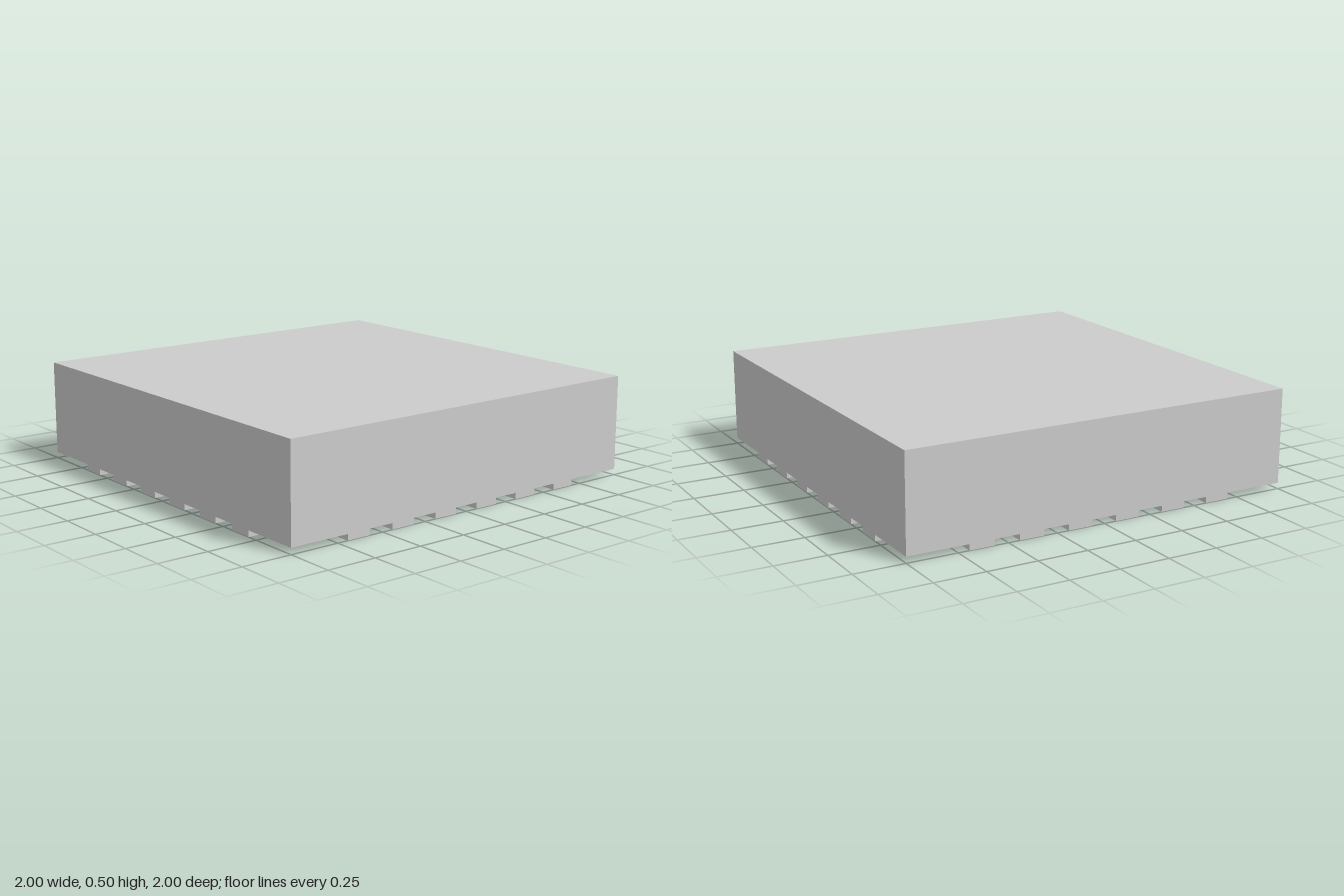
import * as THREE from 'three';
import { toCreasedNormals } from 'three/addons/utils/BufferGeometryUtils.js';

const HALF = 1, HEIGHT = 0.5, STANDOFF = 0.03;
const PADS_PER_SIDE = 6, PITCH = 0.253, PAD_RADIUS = 0.0625, PAD_LENGTH = 0.2;
const THERMAL_PAD = 1.26;

// Contact pad: square at the outer edge, rounded at the inner end
function contactGeometry() {
  const inner = HALF - PAD_LENGTH + PAD_RADIUS;
  const shape = new THREE.Shape();
  shape.moveTo(PAD_RADIUS, inner);
  shape.lineTo(PAD_RADIUS, HALF);
  shape.lineTo(-PAD_RADIUS, HALF);
  shape.lineTo(-PAD_RADIUS, inner);
  shape.absarc(0, inner, PAD_RADIUS, Math.PI, 2 * Math.PI, false);
  const geometry = new THREE.ExtrudeGeometry(shape, {
    depth: STANDOFF, bevelEnabled: false, curveSegments: 16,
  });
  geometry.rotateX(Math.PI / 2).translate(0, STANDOFF, 0);
  return toCreasedNormals(geometry, Math.PI / 6);
}

export function createModel() {
  const model = new THREE.Group();
  model.name = 'chipPackage';
  const material = new THREE.MeshStandardMaterial({ color: 0xcccccc });

  // Moulded body
  const bodyHeight = HEIGHT - STANDOFF;
  const body = new THREE.Mesh(new THREE.BoxGeometry(2 * HALF, bodyHeight, 2 * HALF), material);
  body.name = 'body';
  body.position.y = STANDOFF + bodyHeight / 2;
  model.add(body);

  // Central pad underneath
  const thermalPad = new THREE.Mesh(new THREE.BoxGeometry(THERMAL_PAD, STANDOFF, THERMAL_PAD), material);
  thermalPad.name = 'thermalPad';
  thermalPad.position.y = STANDOFF / 2;
  model.add(thermalPad);

  // One row of contacts along each of the four edges
  const geometry = contactGeometry();
  ['front', 'left', 'back', 'right'].forEach((side, s) => {
    const row = new THREE.Group();
    row.name = `${side}Contacts`;
    row.rotation.y = s * Math.PI / 2;
    for (let i = 0; i < PADS_PER_SIDE; i++) {
      const contact = new THREE.Mesh(geometry, material);
      contact.name = `${side}Contact${i + 1}`;
      contact.position.x = (i - (PADS_PER_SIDE - 1) / 2) * PITCH;
      row.add(contact);
    }
    model.add(row);
  });

  return model;
}
